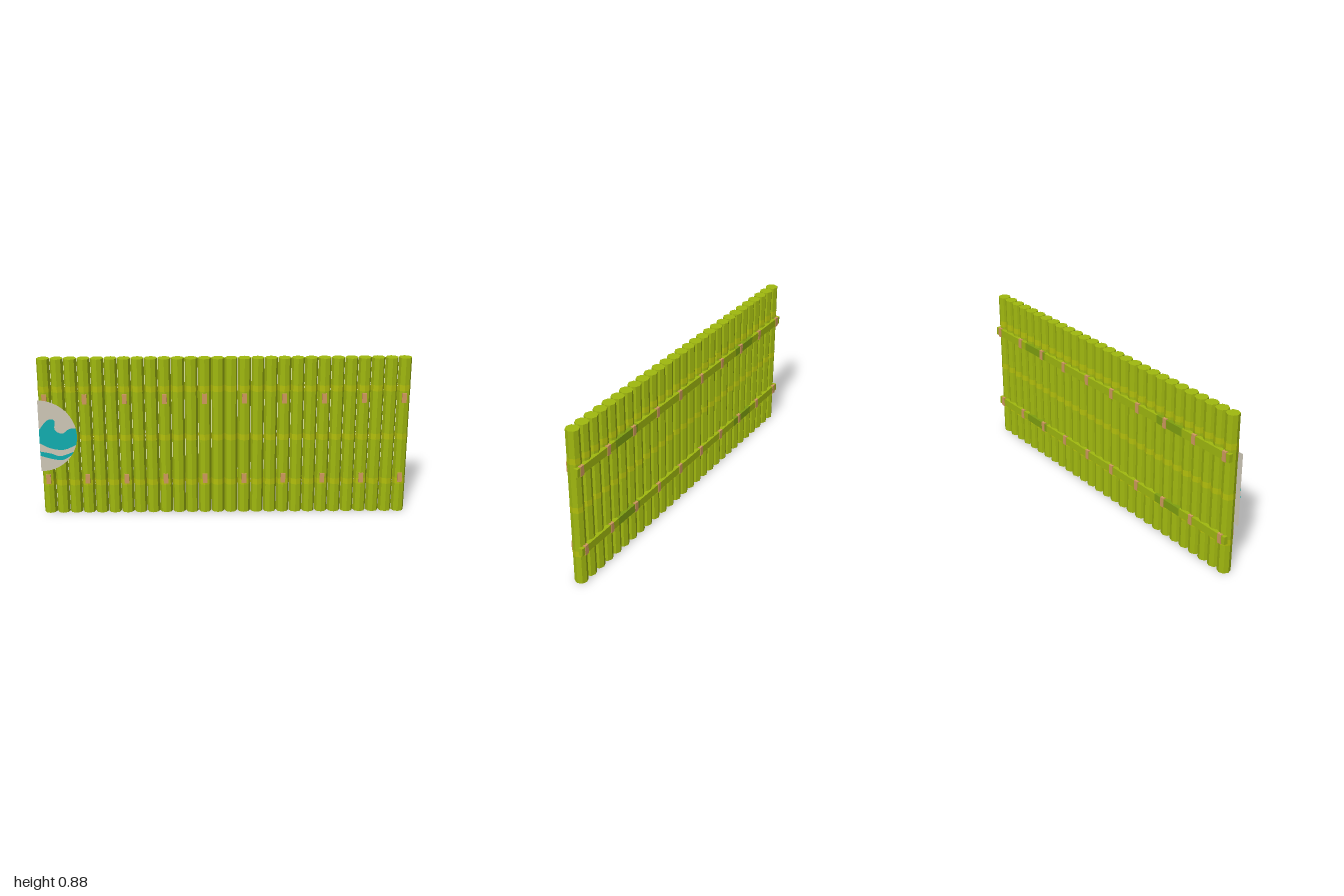
import * as THREE from 'three';

const mat = (name, color, extra = {}) => {
  const m = new THREE.MeshStandardMaterial({ color, flatShading: true, ...extra });
  m.name = name;
  return m;
};

export function createModel() {
  const bamboo = mat('bamboo green', 0xa0b80f);
  const joint = mat('joint yellow green', 0xb2bf0c);
  const deepGreen = mat('deep green', 0x7fa010);
  const rope = mat('rope tan', 0xcf9a5e);
  const cream = mat('cream paint', 0xcfc8b8, { side: THREE.DoubleSide });
  const teal = mat('teal paint', 0x12aeb0, { side: THREE.DoubleSide });

  const root = new THREE.Group();
  root.name = 'bambooFence';
  const add = (parent, name, geometry, material, x, y, z) => {
    const mesh = new THREE.Mesh(geometry, material);
    mesh.name = name;
    mesh.position.set(x, y, z);
    parent.add(mesh);
    return mesh;
  };

  const height = 0.88, radius = 0.035, count = 28;
  const first = -1 + radius, step = (2 - 2 * radius) / (count - 1);

  // Upright eight-sided poles, each with three paler joints
  const poleGeo = new THREE.CylinderGeometry(radius, radius, height, 8);
  const jointGeo = new THREE.CylinderGeometry(radius + 0.0006, radius + 0.0006, 0.033, 8, 1, true);
  for (let i = 0; i < count; i++) {
    const pole = new THREE.Group();
    pole.name = 'pole';
    pole.position.x = first + i * step;
    add(pole, 'poleShaft', poleGeo, bamboo, 0, height / 2, 0);
    for (const y of [0.18, 0.44, 0.715]) add(pole, 'poleJoint', jointGeo, joint, 0, y, 0);
    root.add(pole);
  }

  // Two rails along the back, tied to every third pole
  const railGeo = new THREE.BoxGeometry(2, 0.044, 0.022);
  const patchGeo = new THREE.BoxGeometry(0.19, 0.0446, 0.0226);
  const tieGeo = new THREE.BoxGeometry(0.025, 0.054, 0.086);
  for (const y of [0.203, 0.662]) {
    add(root, 'backRail', railGeo, bamboo, 0, y, -0.032);
    for (const x of [-0.57, 0.6]) add(root, 'railPatch', patchGeo, deepGreen, x, y, -0.032);
    for (let i = 0; i < count; i += 3) add(root, 'ropeTie', tieGeo, rope, first + i * step, y, -0.003);
  }

  // Painted half disc at the right end, with plain wavy bands
  const emblem = new THREE.Group();
  emblem.name = 'paintedHalfDisc';
  emblem.position.set(-1, 0.457, 0.047);
  root.add(emblem);
  const R = 0.203;
  add(emblem, 'discFace', new THREE.CircleGeometry(R, 32, -Math.PI / 2, Math.PI), cream, 0, 0, 0);

  // A band runs along its top curve, down the rim and back along its bottom curve
  const band = (name, top, bottom) => {
    const curve = (pts) => new THREE.SplineCurve(pts.map(([x, y]) => new THREE.Vector2(x, y))).getPoints(20);
    const rim = (y) => [Math.sqrt(R * R - y * y), y];
    const y0 = top.at(-1)[1], y1 = bottom[0][1];
    const edge = [];
    for (let i = 1; i < 8; i++) edge.push(new THREE.Vector2(...rim(y0 + (y1 - y0) * i / 8)));
    const shape = new THREE.Shape([...curve(top), ...edge, ...curve(bottom)]);
    add(emblem, name, new THREE.ShapeGeometry(shape), teal, 0, 0, 0.001);
  };
  band('upperWave',
    [[0, 0.035], [0.045, 0.09], [0.085, 0.09], [0.085, 0.035], [0.125, 0.015], [0.16, 0.04], [0.198, 0.045]],
    [[0.197, -0.05], [0.13, -0.078], [0.06, -0.07], [0, -0.04]]);
  band('lowerWave',
    [[0, -0.088], [0.06, -0.1], [0.11, -0.115], [0.182, -0.09]],
    [[0.17, -0.11], [0.12, -0.137], [0.06, -0.13], [0, -0.112]]);

  return root;
}
